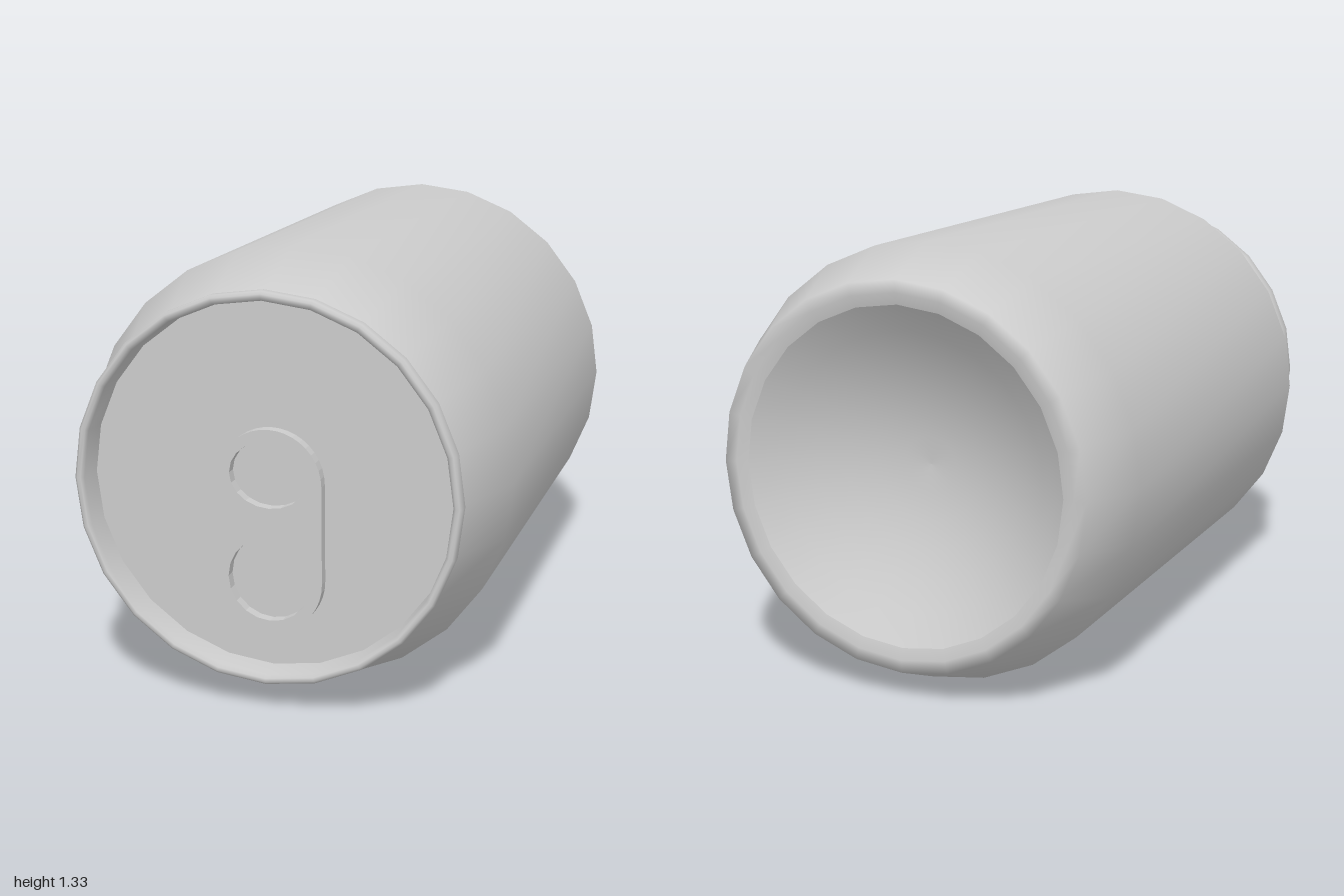
import * as THREE from 'three';

const SEGMENTS = 24;
const RADIUS = 0.666;

// Revolve a [radius, z] profile about the can's long axis
function revolve(name, profile, material) {
  const points = profile.map(([r, z]) => new THREE.Vector2(r, z));
  const geometry = new THREE.LatheGeometry(points, SEGMENTS);
  geometry.rotateX(Math.PI / 2);
  const mesh = new THREE.Mesh(geometry, material);
  mesh.name = name;
  return mesh;
}

export function createModel() {
  const can = new THREE.Group();
  can.name = 'drinkCan';
  const metal = new THREE.MeshStandardMaterial({ color: 0xcccccc, side: THREE.DoubleSide });

  // Body with tapered shoulders at both ends
  const body = revolve('body', [
    [0.51, -0.99], [0.545, -1], [0.583, -1],
    [RADIUS, -0.8], [RADIUS, 0.7], [0.577, 0.955],
  ], metal);

  // Concave dome pressed into the base
  const domeProfile = [];
  const domeDepth = 0.2;
  for (let i = 0; i <= 6; i++) {
    const r = (0.51 * i) / 6;
    domeProfile.push([r, -0.99 + domeDepth * (1 - (i / 6) ** 2)]);
  }
  const base = revolve('baseDome', domeProfile, metal);

  // Rolled rim around the lid
  const rim = revolve('rim', [
    [0.577, 0.955], [0.583, 0.965], [0.583, 0.993],
    [0.575, 1], [0.564, 1], [0.555, 0.99], [0.55, 0.915],
  ], metal);

  // Recessed flat lid
  const lid = revolve('lid', [[0.55, 0.915], [0, 0.915]], metal);

  // Pull tab: rounded strip with a finger hole and a rivet-end hole
  const halfWidth = 0.16;
  const shape = new THREE.Shape();
  shape.absarc(0, 0.146, halfWidth - 0.001, 0, Math.PI, false);
  shape.absarc(0, -0.146, halfWidth - 0.001, Math.PI, Math.PI * 2, false);
  shape.closePath();
  const upperHole = new THREE.Path();
  upperHole.absellipse(0, 0.17, 0.12, 0.1, 0, Math.PI * 2, true);
  const lowerHole = new THREE.Path();
  lowerHole.absellipse(0, -0.145, 0.127, 0.127, 0, Math.PI * 2, true);
  shape.holes.push(upperHole, lowerHole);
  const tab = new THREE.Mesh(
    new THREE.ExtrudeGeometry(shape, { depth: 0.035, bevelEnabled: false, curveSegments: 10 }),
    metal,
  );
  tab.name = 'pullTab';
  tab.position.set(0, 0.535 - RADIUS, 0.913);

  can.add(body, base, rim, lid, tab);
  can.position.y = RADIUS;

  const model = new THREE.Group();
  model.add(can);
  return model;
}
